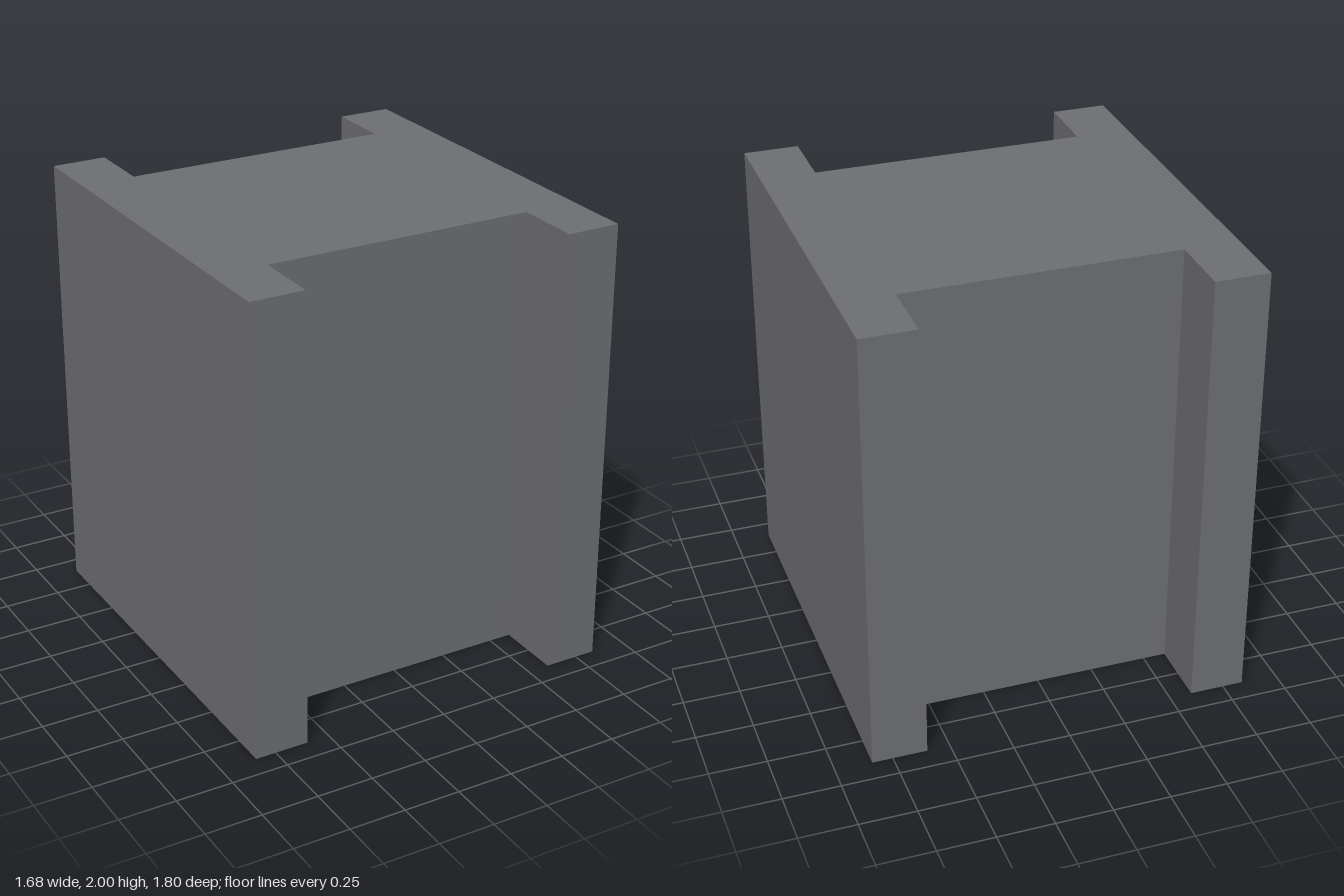
import * as THREE from 'three';

export function createModel() {
  const group = new THREE.Group();
  group.name = 'beamBlock';
  const grey = new THREE.MeshStandardMaterial({ color: 0x6e6f74 });
  grey.name = 'steel grey';

  const height = 2;
  const outerX = 0.84, innerX = 0.6; // flange outer and inner faces
  const flangeZ = 0.9, webZ = 0.6;   // half depths of flange and web

  // H-shaped cross-section, counter-clockwise
  const section = new THREE.Shape([
    [-outerX, -flangeZ], [-innerX, -flangeZ], [-innerX, -webZ],
    [innerX, -webZ], [innerX, -flangeZ], [outerX, -flangeZ],
    [outerX, flangeZ], [innerX, flangeZ], [innerX, webZ],
    [-innerX, webZ], [-innerX, flangeZ], [-outerX, flangeZ],
  ].map(([x, z]) => new THREE.Vector2(x, z)));

  // Extruded upwards as one solid
  const geometry = new THREE.ExtrudeGeometry(section, { depth: height, bevelEnabled: false });
  geometry.rotateX(-Math.PI / 2);
  const beam = new THREE.Mesh(geometry, grey);
  beam.name = 'hBeam';
  group.add(beam);
  return group;
}
